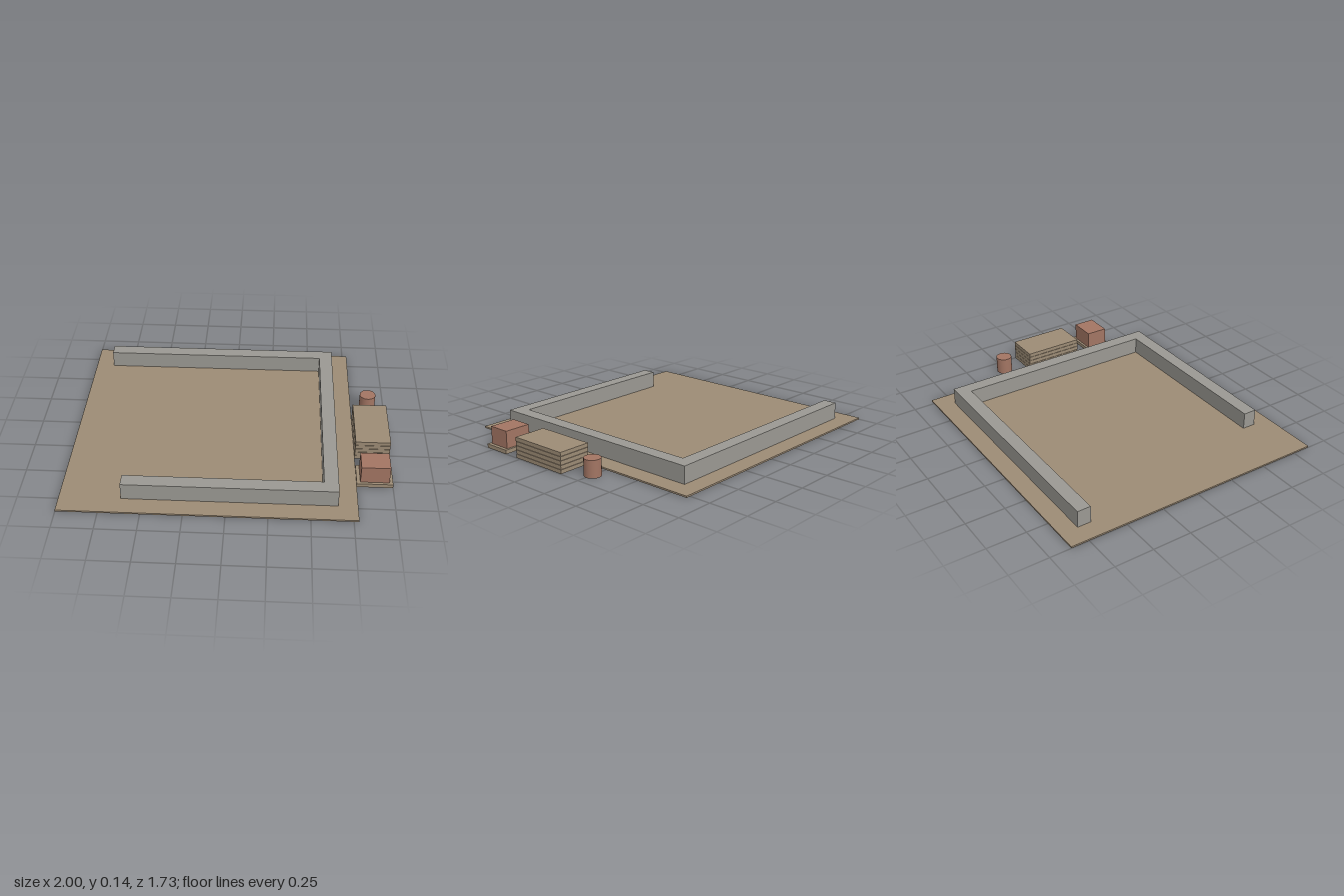
import * as THREE from 'three';

export function createModel() {
  const group = new THREE.Group();
  const earth = new THREE.MeshStandardMaterial({ name: 'tan earth and wood', color: 0x9c8b75 });
  const concrete = new THREE.MeshStandardMaterial({ name: 'grey concrete', color: 0x9a9892 });
  const clay = new THREE.MeshStandardMaterial({ name: 'red clay', color: 0xa27563 });

  function add(name, geometry, material) {
    const mesh = new THREE.Mesh(geometry, material);
    mesh.name = name;
    group.add(mesh);
    return mesh;
  }

  // Box given by its limits on each axis
  function box(name, material, [x0, x1], [y0, y1], [z0, z1]) {
    add(name, new THREE.BoxGeometry(x1 - x0, y1 - y0, z1 - z0), material)
      .position.set((x0 + x1) / 2, (y0 + y1) / 2, (z0 + z1) / 2);
  }

  // Ground slab
  box('groundSlab', earth, [-1, 0.78], [0.0008, 0.011], [-0.865, 0.865]);

  // Foundation wall: one U-shaped outline with unequal arms, raised from y = 0
  const outline = [
    [-0.88, -0.75], [0.663, -0.75], [0.663, 0.745], [-0.627, 0.745],
    [-0.627, 0.658], [0.576, 0.658], [0.576, -0.663], [-0.88, -0.663],
  ];
  const shape = new THREE.Shape(outline.map(([x, z]) => new THREE.Vector2(x, -z)));
  const wall = new THREE.ExtrudeGeometry(shape, { depth: 0.12, bevelEnabled: false });
  wall.rotateX(-Math.PI / 2);
  add('foundationWall', wall, concrete);

  // Stack of boards with narrow gaps
  for (let i = 0; i < 5; i++) {
    const y = i * 0.0268;
    box(`board${i + 1}`, earth, [0.78, 0.997], [y, y + 0.0245], [-0.107, 0.285]);
  }

  // Brick block on a pallet
  box('pallet', earth, [0.78, 1], [0, 0.025], [0.38, 0.555]);
  box('brickBlock', clay, [0.802, 0.978], [0.025, 0.137], [0.395, 0.538]);

  // Barrel
  add('barrel', new THREE.CylinderGeometry(0.052, 0.052, 0.11, 24), clay)
    .position.set(0.888, 0.055, -0.255);

  return group;
}
